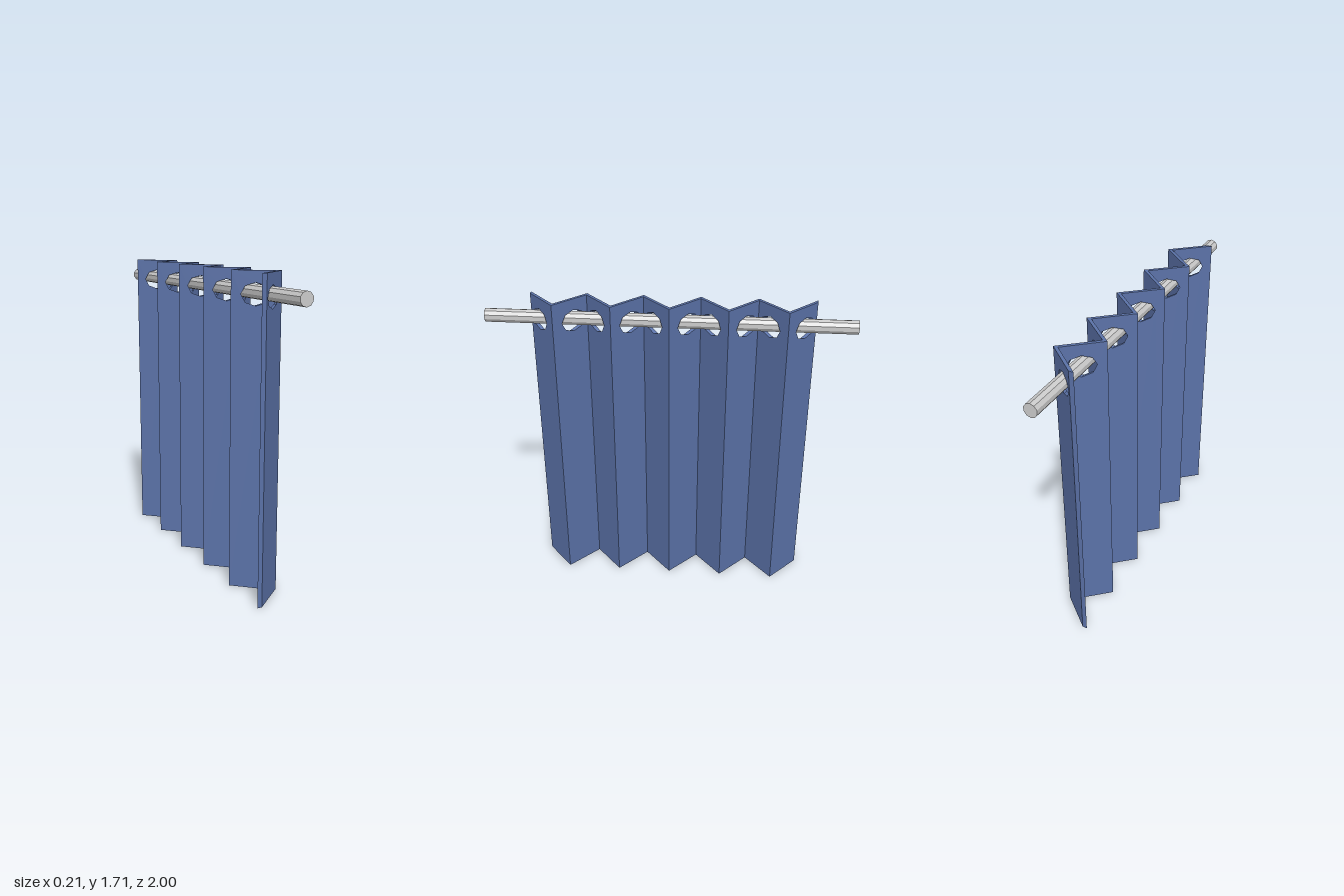
import * as THREE from 'three';
import { mergeGeometries } from 'three/addons/utils/BufferGeometryUtils.js';

const PANELS = 10, STEP = 0.155, HEIGHT = 1.71, Z_START = 0.765;
const X_MIN = -0.105, SWING = 0.178, THICK = 0.027;
const HOLE = { x: -0.007, y: 1.59, r: 0.059, sides: 8 };

// One slanted pleat with an eyelet cut straight through along z
function pleat(i) {
  const dir = i % 2 === 0 ? 1 : -1;
  const startX = dir > 0 ? X_MIN : X_MIN + SWING;
  const slope = dir * SWING / STEP;

  const shape = new THREE.Shape([
    new THREE.Vector2(0, 0), new THREE.Vector2(STEP, 0),
    new THREE.Vector2(STEP, HEIGHT), new THREE.Vector2(0, HEIGHT),
  ]);
  const rim = [];
  for (let k = 0; k < HOLE.sides; k++) {
    const a = k / HOLE.sides * Math.PI * 2;
    const x = HOLE.x + HOLE.r * Math.cos(a);
    rim.push(new THREE.Vector2((x - startX) / slope, HOLE.y + HOLE.r * Math.sin(a)));
  }
  shape.holes.push(new THREE.Path(rim));

  const geo = new THREE.ExtrudeGeometry(shape, { depth: THICK, bevelEnabled: false });
  const p = geo.attributes.position;
  for (let v = 0; v < p.count; v++) {
    const y = p.getY(v), d = p.getZ(v);
    let u = p.getX(v);
    // rim points slide along the cloth so the eyelet tunnel runs along z
    if (y > 0.01 && y < HEIGHT - 0.01) u -= d / slope;
    p.setXYZ(v, startX + slope * u + d, y, Z_START - i * STEP - u);
  }
  geo.computeVertexNormals();
  return geo;
}

export function createModel() {
  const model = new THREE.Group();
  model.name = 'curtainOnRod';

  // Pleated cloth
  const pleats = [];
  for (let i = 0; i < PANELS; i++) pleats.push(pleat(i));
  const curtain = new THREE.Mesh(
    mergeGeometries(pleats),
    new THREE.MeshStandardMaterial({ color: 0x5b72a8 })
  );
  curtain.name = 'curtain';
  model.add(curtain);

  // Rod threaded through the eyelets
  const rod = new THREE.Mesh(
    new THREE.CylinderGeometry(0.038, 0.038, 2, 10).rotateX(Math.PI / 2),
    new THREE.MeshStandardMaterial({ color: 0xcccccc, flatShading: true })
  );
  rod.name = 'rod';
  rod.position.set(-0.008, 1.604, 0);
  model.add(rod);

  return model;
}
